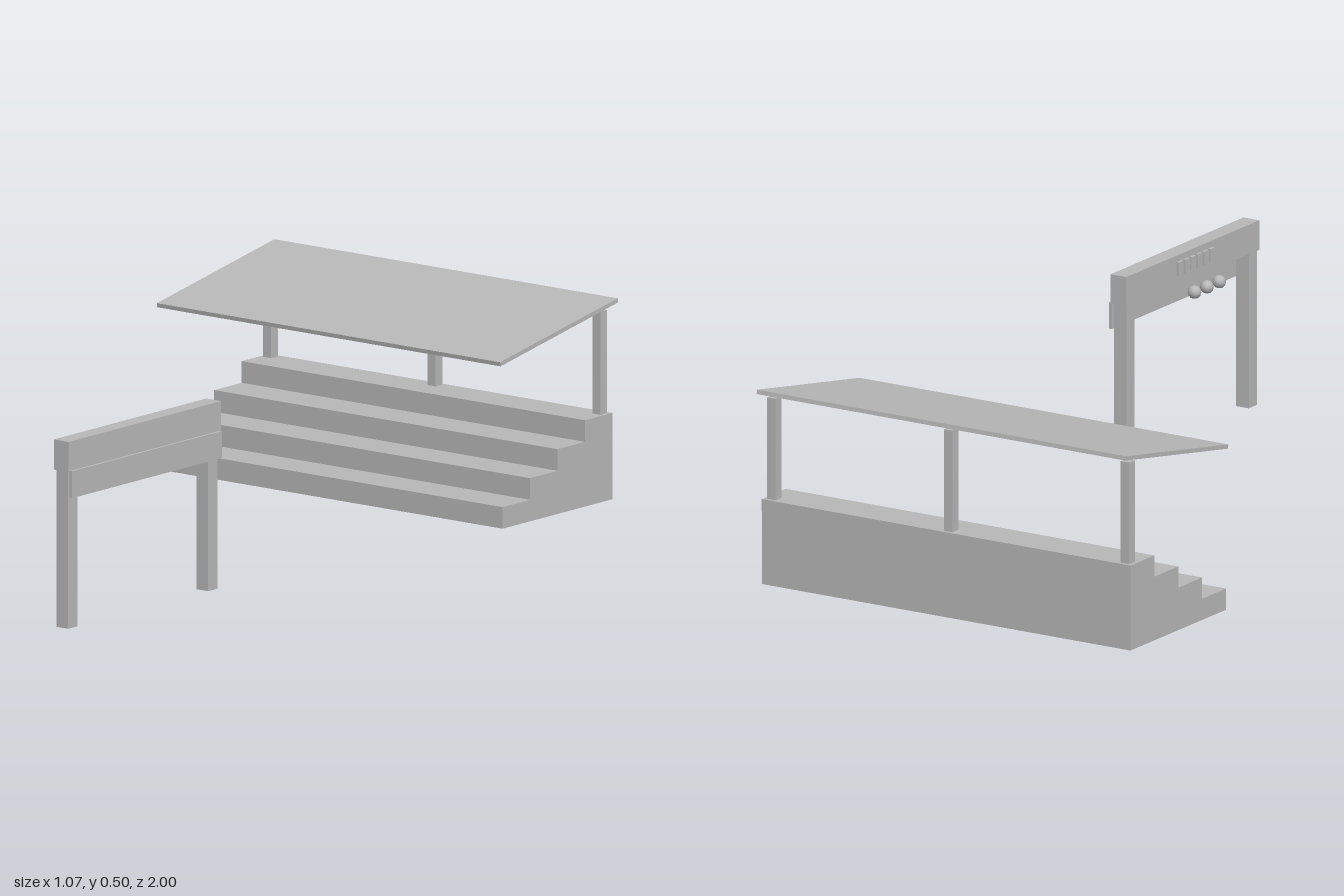
import * as THREE from 'three';

export function createModel() {
  const group = new THREE.Group();
  const grey = new THREE.MeshStandardMaterial({ color: 0xb8b8b8 });
  grey.name = 'plain grey';

  const add = (name, geometry, x = 0, y = 0, z = 0) => {
    const mesh = new THREE.Mesh(geometry, grey);
    mesh.name = name;
    mesh.position.set(x, y, z);
    group.add(mesh);
    return mesh;
  };
  // Box given by its lower and upper limits on each axis
  const block = (name, [x0, x1], [y0, y1], [z0, z1]) =>
    add(name, new THREE.BoxGeometry(x1 - x0, y1 - y0, z1 - z0),
      (x0 + x1) / 2, (y0 + y1) / 2, (z0 + z1) / 2);

  // Stepped grandstand: side profile extruded along x
  const width = 1.07, rise = 0.0538, tread = 0.1068, front = -0.55, back = -0.977;
  const profile = new THREE.Shape();
  profile.moveTo(-back, 0);
  profile.lineTo(-front, 0);
  for (let i = 0; i < 4; i++) {
    profile.lineTo(-front + i * tread, (i + 1) * rise);
    profile.lineTo(-front + (i + 1) * tread, (i + 1) * rise);
  }
  profile.closePath();
  const stand = new THREE.ExtrudeGeometry(profile, { depth: width, bevelEnabled: false });
  stand.rotateY(Math.PI / 2);
  add('grandstand', stand, -width / 2);

  // Roof posts and sloping roof
  for (const x of [-0.513, 0, 0.513]) {
    block('roofPost', [x - 0.0125, x + 0.0125], [0.21, 0.472], [-0.968, -0.942]);
  }
  const roof = add('roof', new THREE.BoxGeometry(width, 0.0107, 0.465), 0, 0.4515, -0.77);
  roof.rotation.x = THREE.MathUtils.degToRad(10);

  // Gantry: two legs, crossbeam and hanging panel
  for (const z of [0.432, 0.977]) {
    block('gantryLeg', [0.381, 0.418], [0, 0.395], [z - 0.018, z + 0.018]);
  }
  block('gantryBeam', [0.377, 0.423], [0.392, 0.467], [0.406, 1]);
  block('hangingPanel', [0.422, 0.43], [0.327, 0.394], [0.411, 0.995]);

  // Raised slats on the inner face of the beam
  for (let i = 0; i < 6; i++) {
    const z = 0.64 + i * 0.028;
    block('beamSlat', [0.369, 0.378], [0.416, 0.451], [z - 0.01, z + 0.01]);
  }

  // Row of small faceted lamps
  for (const z of [0.7, 0.755, 0.81]) {
    add('lamp', new THREE.IcosahedronGeometry(0.017, 1), 0.37, 0.359, z);
  }

  return group;
}
